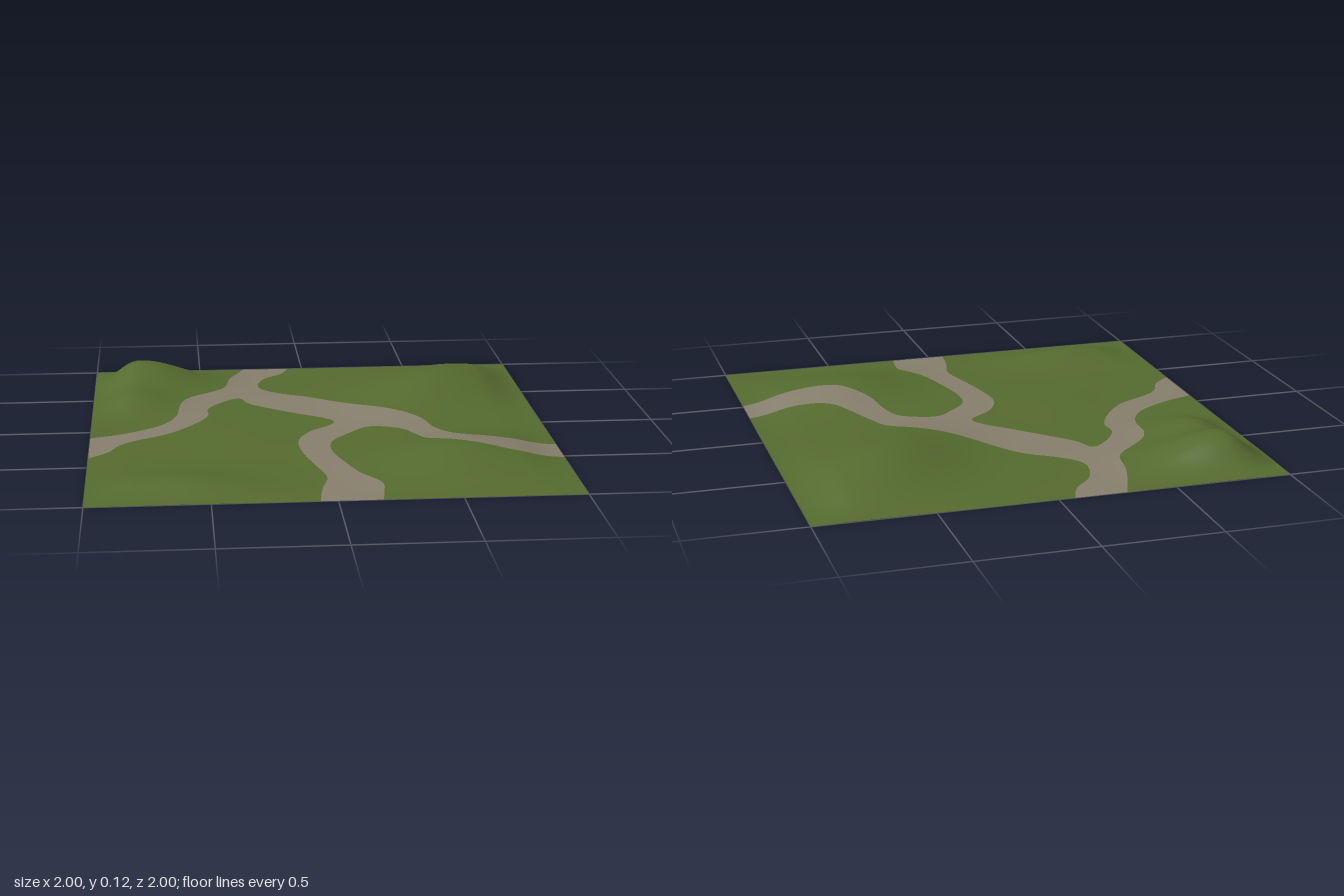
import * as THREE from 'three';

// Hills: centre x, centre z, height, spread along, spread across, rotation
const HILLS = [
  [-0.78, -0.74, 0.115, 0.19, 0.14, 0],
  [-0.84, -0.4, 0.055, 0.14, 0.11, 0],
  [0.6, -0.52, 0.094, 0.33, 0.2, -0.95],
  [0.55, 0.52, 0.07, 0.24, 0.18, -0.5],
  [-0.62, 0.8, 0.04, 0.2, 0.12, 0],
  [-0.35, 0.12, 0.014, 0.2, 0.15, -0.6],
];

// Rolling ground that settles to a low rim at the borders
function height(x, z) {
  let h = 0;
  for (const [cx, cz, top, sa, sb, rot] of HILLS) {
    const c = Math.cos(rot), s = Math.sin(rot), dx = x - cx, dz = z - cz;
    const a = (dx * c + dz * s) / sa, b = (dz * c - dx * s) / sb;
    h += top * Math.exp(-(a * a + b * b) / 2);
  }
  const edge = (t) => THREE.MathUtils.smoothstep(1 - Math.abs(t), -0.04, 0.2);
  return 0.008 + 0.005 * (1 + Math.sin(2.5 * x + 1) * Math.cos(2.5 * z)) * edge(x) * edge(z)
    + h * edge(x) * edge(z);
}

function normal(x, z) {
  const e = 0.004;
  return new THREE.Vector3(
    height(x - e, z) - height(x + e, z), 2 * e, height(x, z - e) - height(x, z + e)).normalize();
}

// Borders of the forked path, in order around it
const BORDERS = [
  // north-east
  [[-0.05, -1.06], [-0.07, -1], [-0.11, -0.9], [-0.2, -0.8], [-0.23, -0.65], [-0.15, -0.55], [0, -0.45],
    [0.2, -0.23], [0.44, -0.04], [0.5, 0.1], [0.57, 0.23], [0.65, 0.31], [0.8, 0.345], [1, 0.335], [1.06, 0.33]],
  // south-east
  [[1.06, 0.51], [1, 0.515], [0.8, 0.535], [0.65, 0.505], [0.55, 0.46], [0.45, 0.35], [0.41, 0.22],
    [0.36, 0.12], [0.22, 0.07], [0.12, 0.15], [0.04, 0.25], [0.03, 0.38], [0.07, 0.55], [0.12, 0.7],
    [0.195, 0.82], [0.19, 0.92], [0.18, 1], [0.18, 1.06]],
  // south-west, around the inner fork
  [[-0.07, 1.06], [-0.07, 1], [-0.05, 0.85], [-0.02, 0.72], [-0.06, 0.55], [-0.1, 0.36], [-0.1, 0.22],
    [-0.04, 0.1], [0.07, 0], [0.04, -0.08], [-0.1, -0.2], [-0.28, -0.37], [-0.33, -0.47], [-0.42, -0.4],
    [-0.48, -0.3], [-0.48, -0.2], [-0.54, -0.08], [-0.65, 0.05], [-0.8, 0.14], [-0.87, 0.2],
    [-0.92, 0.3], [-1, 0.37], [-1.06, 0.4]],
  // north-west
  [[-1.06, 0.1], [-1, 0.085], [-0.85, 0.03], [-0.7, -0.07], [-0.625, -0.2], [-0.6, -0.37], [-0.55, -0.47],
    [-0.43, -0.58], [-0.385, -0.65], [-0.36, -0.8], [-0.29, -1], [-0.28, -1.06]],
];
const OUTLINE = BORDERS.flatMap((pts) =>
  new THREE.SplineCurve(pts.map(([x, z]) => new THREE.Vector2(x, z))).getPoints(pts.length * 4));

// Signed distance to the path outline, positive on the path
function pathDistance(x, z) {
  let best = Infinity, inside = false;
  for (let i = 0, j = OUTLINE.length - 1; i < OUTLINE.length; j = i++) {
    const a = OUTLINE[j], b = OUTLINE[i];
    const ex = b.x - a.x, ez = b.y - a.y;
    const t = THREE.MathUtils.clamp(((x - a.x) * ex + (z - a.y) * ez) / (ex * ex + ez * ez || 1), 0, 1);
    best = Math.min(best, Math.hypot(x - a.x - t * ex, z - a.y - t * ez));
    if ((a.y > z) !== (b.y > z) && x < a.x + (ex * (z - a.y)) / ez) inside = !inside;
  }
  return inside ? best : -best;
}

// Keeps the part of a triangle where sign * distance is positive
function clip(tri, sign) {
  const out = [];
  tri.forEach((p, i) => {
    const q = tri[(i + 1) % 3];
    if (p.d * sign >= 0) out.push(p);
    if (p.d * q.d < 0) {
      const t = p.d / (p.d - q.d);
      out.push({ x: p.x + (q.x - p.x) * t, z: p.z + (q.z - p.z) * t, d: 0 });
    }
  });
  return out;
}

// Ground surface on one side of the path outline
function surface(grid, n, sign) {
  const pos = [], nor = [];
  const add = (tri) => {
    const poly = clip(tri, sign);
    for (let k = 1; k + 1 < poly.length; k++) {
      for (const p of [poly[0], poly[k], poly[k + 1]]) {
        pos.push(p.x, height(p.x, p.z), p.z);
        nor.push(...normal(p.x, p.z).toArray());
      }
    }
  };
  for (let i = 0; i < n; i++) {
    for (let j = 0; j < n; j++) {
      const a = grid[i][j], b = grid[i][j + 1], c = grid[i + 1][j], d = grid[i + 1][j + 1];
      add([a, b, c]);
      add([c, b, d]);
    }
  }
  const geo = new THREE.BufferGeometry();
  geo.setAttribute('position', new THREE.Float32BufferAttribute(pos, 3));
  geo.setAttribute('normal', new THREE.Float32BufferAttribute(nor, 3));
  return geo;
}

export function createModel() {
  const group = new THREE.Group();
  group.name = 'terrain';
  const n = 90, grid = [];
  for (let i = 0; i <= n; i++) {
    grid.push([]);
    for (let j = 0; j <= n; j++) {
      const x = -1 + (2 * i) / n, z = -1 + (2 * j) / n;
      grid[i].push({ x, z, d: pathDistance(x, z) });
    }
  }
  // Grass and path share one open surface
  for (const [name, color, sign] of [['grass', 0x556b2f, -1], ['path', 0x877f6c, 1]]) {
    const mat = new THREE.MeshStandardMaterial({ color, side: THREE.DoubleSide });
    mat.name = name;
    const mesh = new THREE.Mesh(surface(grid, n, sign), mat);
    mesh.name = name;
    group.add(mesh);
  }
  return group;
}
